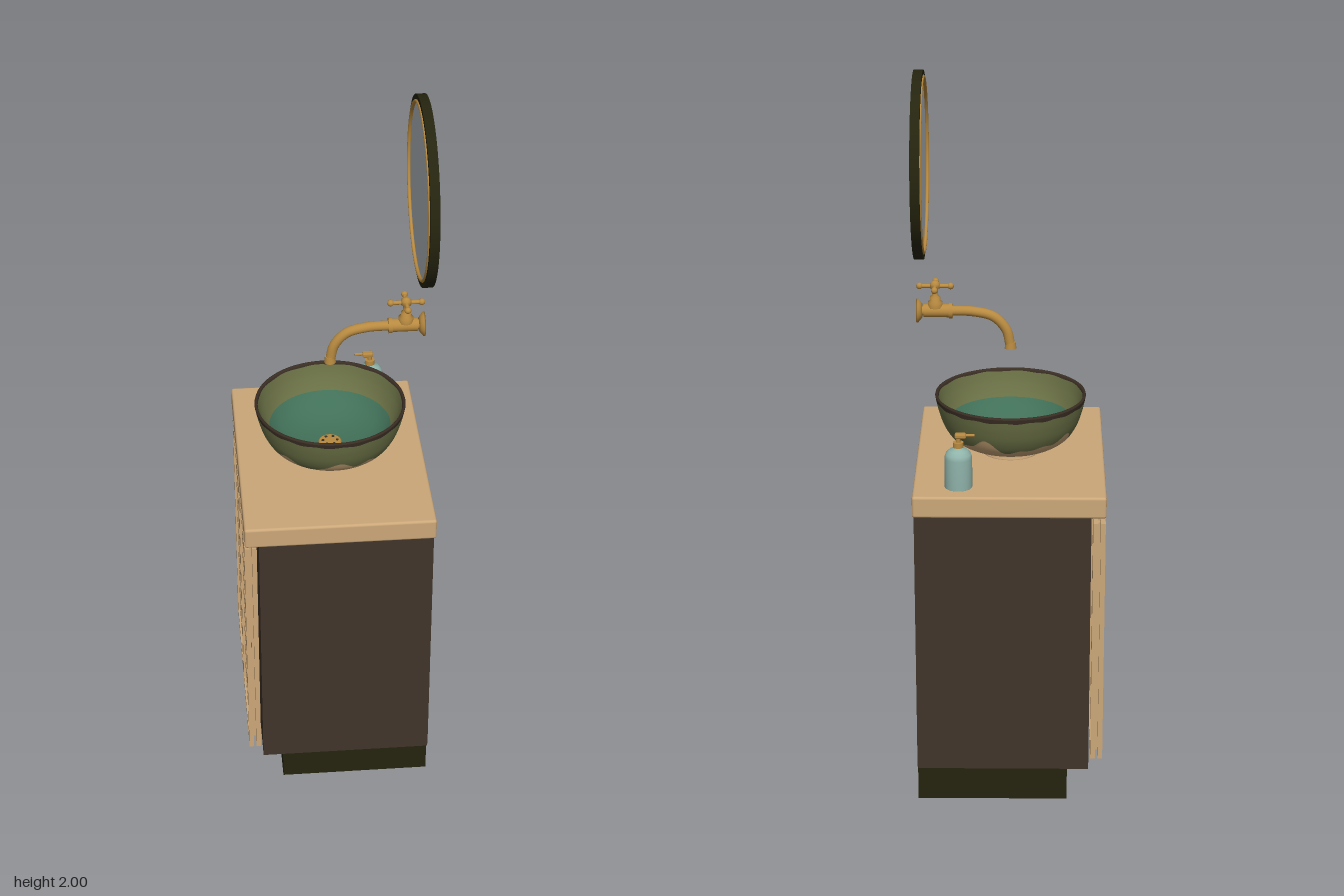
import * as THREE from 'three';
import { RoundedBoxGeometry } from 'three/addons/geometries/RoundedBoxGeometry.js';

const make = (name, color) => {
  const m = new THREE.MeshStandardMaterial({ color });
  m.name = name;
  return m;
};

export function createModel() {
  const walnut = make('dark walnut', 0x40342a);
  const wood = make('light wood', 0xcba779);
  const black = make('olive black', 0x25240f);
  const brass = make('brass', 0xb88a40);
  const glass = make('mirror glass', 0xb9c0c4);
  const glaze = make('olive glaze', 0x6a7045);
  const teal = make('teal glaze', 0x417058);
  const rimBrown = make('rim brown', 0x3a2e24);
  const soap = make('pale teal', 0x8fb3aa);

  const model = new THREE.Group();
  const group = (name, parent = model) => {
    const g = new THREE.Group();
    g.name = name;
    parent.add(g);
    return g;
  };
  const add = (parent, name, geo, mat, x = 0, y = 0, z = 0) => {
    const m = new THREE.Mesh(geo, mat);
    m.name = name;
    m.position.set(x, y, z);
    parent.add(m);
    return m;
  };
  const box = (parent, name, mat, x0, x1, y0, y1, z0, z1) =>
    add(parent, name, new THREE.BoxGeometry(x1 - x0, y1 - y0, z1 - z0), mat,
      (x0 + x1) / 2, (y0 + y1) / 2, (z0 + z1) / 2);
  const points = (list) => list.map(([r, y]) => new THREE.Vector2(r, y));
  const lathe = (list, n = 40) => new THREE.LatheGeometry(points(list), n);
  // Cylinder lying along x
  const rodX = (r, len) => new THREE.CylinderGeometry(r, r, len, 24).rotateZ(Math.PI / 2);

  // Cabinet
  const cabinet = group('cabinet');
  box(cabinet, 'plinth', black, -0.16, 0.255, 0, 0.117, -0.283, 0.283);
  box(cabinet, 'carcass', walnut, -0.218, 0.255, 0.115, 0.882, -0.31, 0.31);
  for (const s of [-1, 1])
    add(cabinet, 'sidePanel', new THREE.BoxGeometry(0.471, 0.765, 0.01), walnut, 0.017, 0.4985, s * 0.315);
  add(cabinet, 'countertop', new RoundedBoxGeometry(0.515, 0.06, 0.688, 3, 0.007), wood, 0, 0.91, 0);

  // Slatted doors: two frame layers with upright slats
  for (const s of [-1, 1]) {
    const door = group(s < 0 ? 'rightDoor' : 'leftDoor');
    door.position.z = s * 0.159;
    const h = 0.151, y0 = 0.143, y1 = 0.852, t = 0.02;
    for (const x of [-0.257, -0.237]) {
      for (const e of [-1, 1])
        box(door, 'stile', wood, x, x + 0.013, y0, y1, e > 0 ? h - t : -h, e > 0 ? h : t - h);
      box(door, 'bottomRail', wood, x, x + 0.013, y0, y0 + t, t - h, h - t);
      box(door, 'topRail', wood, x, x + 0.013, y1 - t, y1, t - h, h - t);
    }
    for (let i = 0; i < 9; i++) {
      const z = -0.112 + i * 0.028;
      box(door, 'slat', wood, -0.252, -0.23, y0 + 0.01, y1 - 0.01, z - 0.006, z + 0.006);
    }
    add(door, 'handle', new THREE.CapsuleGeometry(0.007, 0.055, 4, 12), rimBrown,
      -0.25, 0.495, h - 0.016);
  }

  // Bowl: bands of a turned profile whose edges may wave around the axis
  const bowl = group('vesselBasin');
  const band = (name, profile, lo, hi, mat, rows = 14, n = 120) => {
    const curve = new THREE.SplineCurve(points(profile));
    const pos = [], idx = [];
    for (let j = 0; j <= rows; j++)
      for (let i = 0; i < n; i++) {
        const a = (i / n) * Math.PI * 2, t0 = lo(a), t1 = hi(a);
        const p = curve.getPoint(t0 + ((t1 - t0) * j) / rows);
        pos.push(p.x * Math.sin(a), p.y, p.x * Math.cos(a));
      }
    for (let j = 0; j < rows; j++)
      for (let i = 0; i < n; i++) {
        const k = (i + 1) % n, a = j * n + i, b = j * n + k;
        idx.push(a, b, b + n, a, b + n, a + n);
      }
    const geo = new THREE.BufferGeometry();
    geo.setAttribute('position', new THREE.Float32BufferAttribute(pos, 3));
    geo.setIndex(idx);
    geo.computeVertexNormals();
    add(bowl, name, geo, mat);
  };
  const at = (v) => () => v;
  const drip = (a) => 0.5 + 0.07 * Math.sin(5 * a + 0.6) + 0.05 * Math.sin(9 * a + 2) + 0.03 * Math.sin(14 * a);
  const ripple = (a) => 0.93 + 0.008 * Math.sin(17 * a);
  const outer = [[0.07, 0.958], [0.12, 0.967], [0.16, 0.99], [0.184, 1.025], [0.198, 1.065], [0.207, 1.105]];
  const inner = [[0.199, 1.106], [0.187, 1.07], [0.167, 1.035], [0.135, 1.005], [0.08, 0.982], [0.002, 0.972]];
  const edge = (a) => 0.035 + 0.008 * Math.sin(13 * a);
  band('bareClay', outer, at(0), drip, wood);
  band('outerGlaze', outer, drip, ripple, glaze);
  band('outerRim', outer, ripple, at(1), rimBrown, 3);
  band('innerRim', inner, at(0), edge, rimBrown, 3);
  band('innerGlaze', inner, edge, at(0.4), glaze);
  band('innerPool', inner, at(0.4), at(1), teal);
  add(bowl, 'lip', lathe([[0.207, 1.105], [0.206, 1.109], [0.202, 1.11], [0.199, 1.106]], 120), rimBrown);
  add(bowl, 'foot', lathe([[0.078, 0.938], [0.08, 0.944], [0.074, 0.95], [0.08, 0.956], [0.09, 0.962]], 64), wood);

  // Drain with a ring of holes
  const drain = group('drain');
  add(drain, 'drainPlate', lathe([[0.032, 0.97], [0.032, 0.977], [0.028, 0.98], [0, 0.98]]), brass);
  for (let i = 0; i < 6; i++) {
    const a = (i / 6) * Math.PI * 2;
    add(drain, 'drainHole', new THREE.CylinderGeometry(0.004, 0.004, 0.002, 12), rimBrown,
      0.02 * Math.cos(a), 0.9805, 0.02 * Math.sin(a));
  }

  // Wall tap
  const tap = group('wallTap');
  const path = new THREE.CatmullRomCurve3([[0.25, 1.345], [0.17, 1.345], [0.1, 1.343], [0.045, 1.328],
    [0.012, 1.292], [0, 1.245]].map(([x, y]) => new THREE.Vector3(x, y, 0)));
  add(tap, 'spout', new THREE.TubeGeometry(path, 40, 0.0135, 20), brass);
  add(tap, 'nozzle', new THREE.CylinderGeometry(0.014, 0.016, 0.018, 24), brass, 0, 1.247, 0);
  add(tap, 'valveBody', rodX(0.018, 0.075), brass, 0.198, 1.345, 0);
  add(tap, 'bodyCollar', rodX(0.021, 0.01), brass, 0.162, 1.345, 0);
  add(tap, 'wallFlange', lathe([[0, 0], [0.033, 0], [0.033, 0.004], [0.025, 0.011], [0.018, 0.016], [0, 0.016]])
    .rotateZ(Math.PI / 2), brass, 0.255, 1.345, 0);
  add(tap, 'valveStem', lathe([[0.02, 1.355], [0.02, 1.37], [0.014, 1.375], [0.014, 1.385], [0.008, 1.39],
    [0.008, 1.408], [0.014, 1.41], [0.014, 1.422], [0.008, 1.428], [0, 1.43]], 24), brass, 0.204);
  for (let i = 0; i < 4; i++) {
    const arm = group('handleArm', tap);
    arm.position.set(0.204, 1.415, 0);
    arm.rotation.y = (i * Math.PI) / 2;
    add(arm, 'armRod', rodX(0.0055, 0.042), brass, 0.021);
    add(arm, 'armKnob', new THREE.SphereGeometry(0.009, 16, 12), brass, 0.042);
  }

  // Soap dispenser
  const bottle = group('soapDispenser');
  bottle.position.set(0.136, 0.938, -0.266);
  add(bottle, 'bottleBody', lathe([[0, 0], [0.035, 0], [0.037, 0.003], [0.037, 0.085], [0.034, 0.097],
    [0.025, 0.107], [0.014, 0.113], [0.013, 0.12]]), soap);
  add(bottle, 'pumpCollar', new THREE.CylinderGeometry(0.014, 0.014, 0.014, 24), brass, 0, 0.122, 0);
  add(bottle, 'pumpStem', new THREE.CylinderGeometry(0.006, 0.006, 0.02, 16), brass, 0, 0.136, 0);
  add(bottle, 'pumpHead', new RoundedBoxGeometry(0.03, 0.013, 0.019, 2, 0.004), brass, -0.006, 0.147, 0);
  add(bottle, 'pumpNozzle', rodX(0.0035, 0.028), brass, -0.029, 0.148, 0);

  // Round mirror facing the room
  const mirror = group('mirror');
  mirror.position.set(0.255, 1.75, 0);
  mirror.rotation.z = Math.PI / 2;
  add(mirror, 'frame', lathe([[0, 0], [0.25, 0], [0.25, 0], [0.25, 0.025], [0.25, 0.025], [0.232, 0.025],
    [0.232, 0.025], [0.232, 0.012], [0, 0.012]], 80), black);
  add(mirror, 'brassBead', new THREE.TorusGeometry(0.232, 0.005, 10, 80).rotateX(Math.PI / 2), brass, 0, 0.024, 0);
  add(mirror, 'mirrorGlass', new THREE.CylinderGeometry(0.23, 0.23, 0.006, 80), glass, 0, 0.017, 0);

  return model;
}
